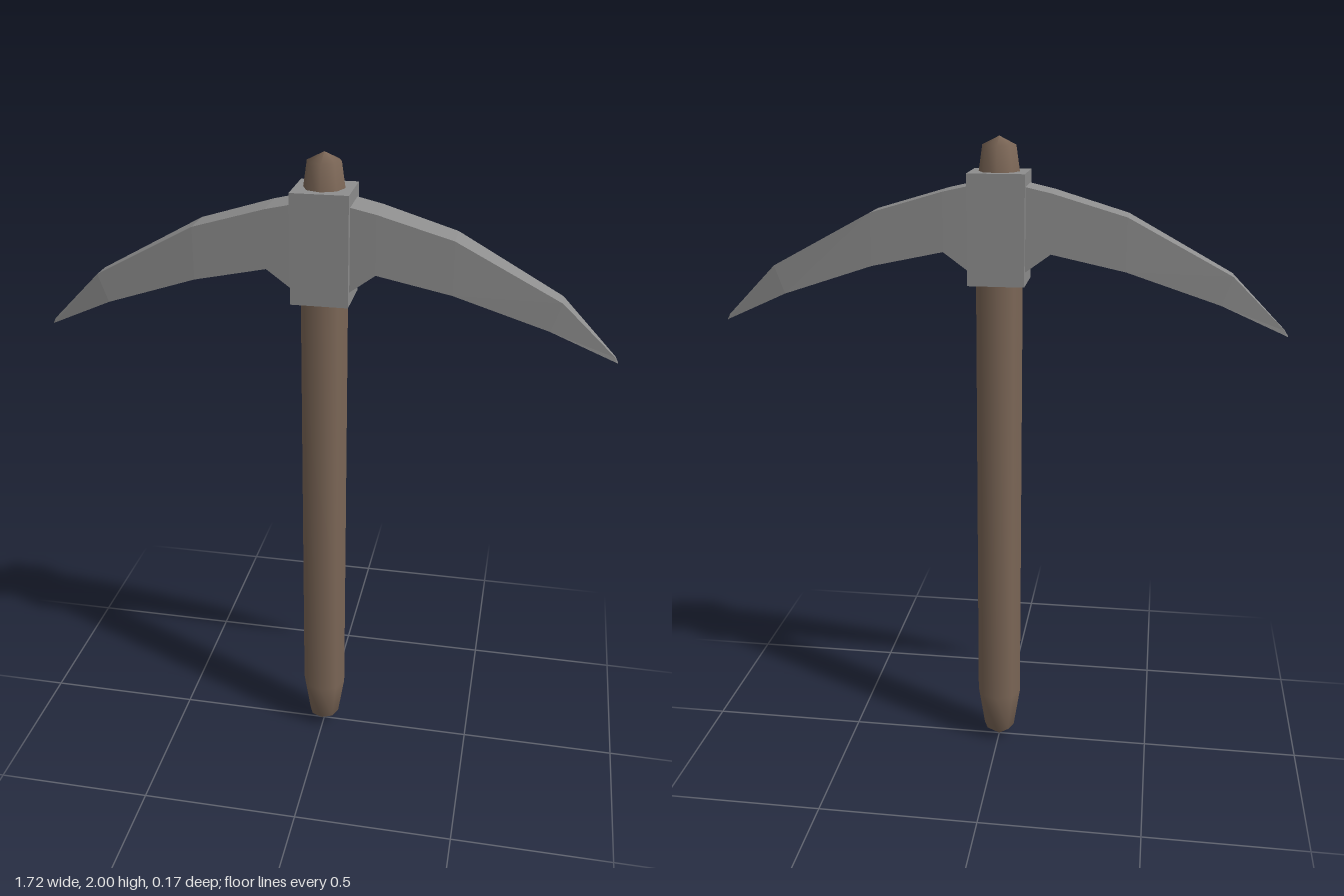
import * as THREE from 'three';

const wood = new THREE.MeshStandardMaterial({ name: 'wood', color: 0x7c6757 });
const iron = new THREE.MeshStandardMaterial({ name: 'iron', color: 0x8e8e8e });
iron.flatShading = true;

// Half of the curved head: top x, top y, bottom x, bottom y, half thickness
const stations = [
  [0.08, 1.863, 0.08, 1.612, 0.063],
  [0.16, 1.845, 0.16, 1.67, 0.061],
  [0.38, 1.78, 0.38, 1.622, 0.053],
  [0.69, 1.613, 0.66, 1.527, 0.033],
  [0.852, 1.452, 0.855, 1.437, 0.006],
  [0.862, 1.435, 0.862, 1.433, 0.003],
];

// Four-sided loft through the stations, mirrored to both sides
function bladeGeometry() {
  const mirrored = stations.map(([tx, ty, bx, by, h]) => [-tx, ty, -bx, by, h]).reverse();
  const rings = [...mirrored, ...stations];
  const positions = [];
  const index = [];
  for (const [tx, ty, bx, by, h] of rings) {
    positions.push(tx, ty, h, tx, ty, -h, bx, by, -h, bx, by, h);
  }
  for (let r = 0; r < rings.length - 1; r++) {
    for (let k = 0; k < 4; k++) {
      const a = r * 4 + k, a2 = r * 4 + (k + 1) % 4;
      index.push(a, a + 4, a2 + 4, a, a2 + 4, a2);
    }
  }
  const e = (rings.length - 1) * 4;
  index.push(0, 1, 2, 0, 2, 3, e, e + 2, e + 1, e, e + 3, e + 2);
  const indexed = new THREE.BufferGeometry();
  indexed.setAttribute('position', new THREE.Float32BufferAttribute(positions, 3));
  indexed.setIndex(index);
  const geometry = indexed.toNonIndexed();
  geometry.computeVertexNormals();
  return geometry;
}

export function createModel() {
  const group = new THREE.Group();
  group.name = 'pickaxe';

  const add = (name, geometry, material) => {
    const mesh = new THREE.Mesh(geometry, material);
    mesh.name = name;
    group.add(mesh);
    return mesh;
  };

  // Eight-sided shaft with tapered, rounded-off ends
  const profile = [[0, 0], [0.05, 0.04], [0.071, 0.175], [0.071, 1.83], [0.05, 1.975], [0, 2]];
  add('handle', new THREE.LatheGeometry(profile.map(([r, y]) => new THREE.Vector2(r, y)), 8), wood);

  // Collar block that holds the head on the shaft
  add('collar', new THREE.BoxGeometry(0.17, 0.325, 0.166), iron).position.y = 1.7375;

  // Double-pointed curved head
  add('headBlade', bladeGeometry(), iron);

  return group;
}
